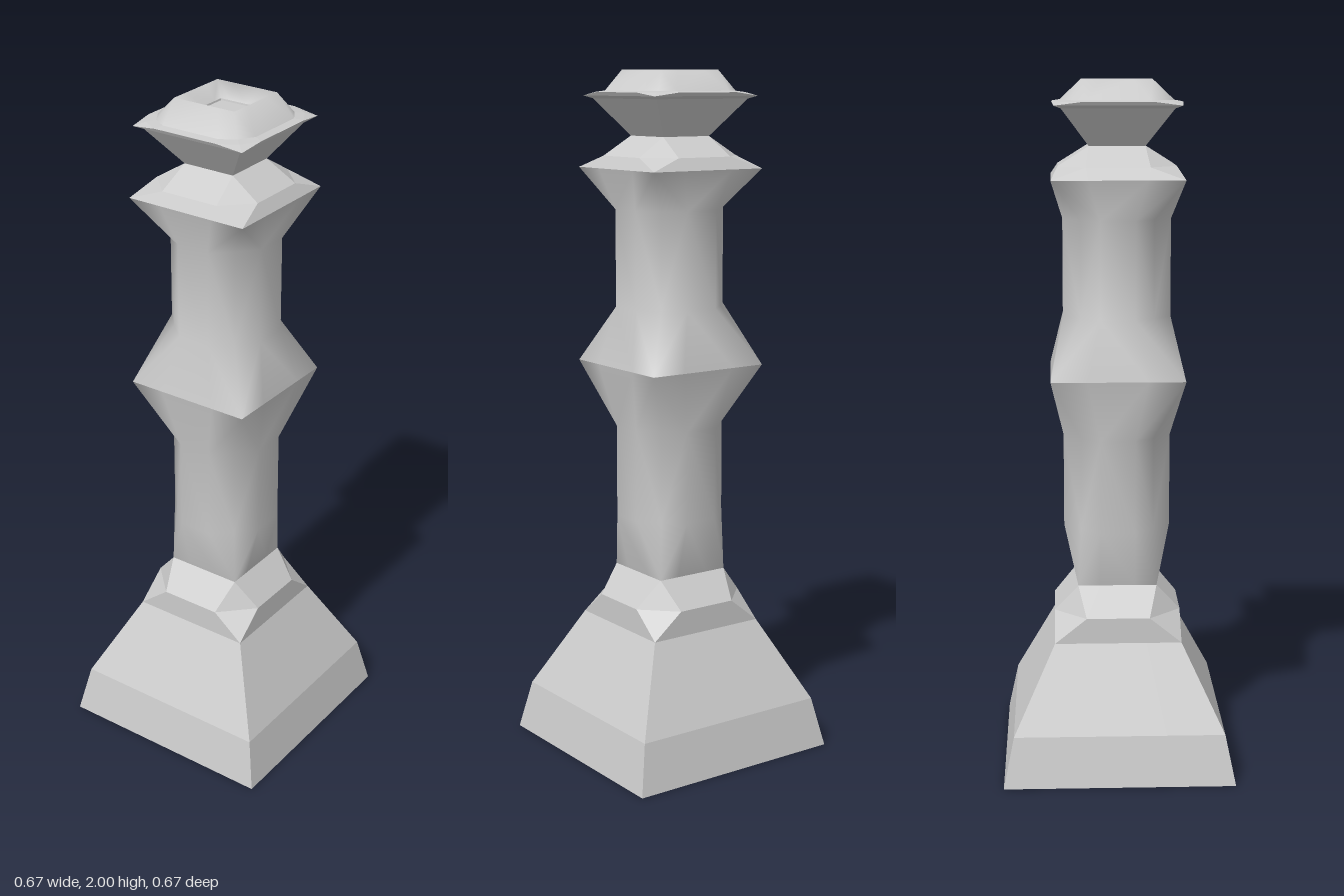
import * as THREE from 'three';
import { mergeVertices } from 'three/addons/utils/BufferGeometryUtils.js';

// Cross-sections are twelve-sided: h = half width, k = half length of the flat side, c = corner.
const square = (y, h) => ({ y, h, k: h * 0.45, c: h });
const round = (y, h, k, c) => ({ y, h, k, c });
const column = (y) => round(y, 0.155, 0.05, 0.105);

function ringPoints({ y, h, k, c }) {
  const points = [];
  for (let q = 0; q < 4; q++) {
    const cos = [1, 0, -1, 0][q], sin = [0, 1, 0, -1][q];
    for (const [a, b] of [[h, k], [c, c], [k, h]]) {
      points.push(new THREE.Vector3(a * cos - b * sin, y, -(a * sin + b * cos)));
    }
  }
  return points;
}

// Joins successive sections into a shell; the diagonals run out of the sharper corners.
function loft(name, sections, { smooth = false, bottom = false, top = false } = {}) {
  const rings = sections.map(ringPoints);
  const tris = [];
  for (let s = 0; s + 1 < rings.length; s++) {
    const lowerSharp = sections[s].c / sections[s].h >= sections[s + 1].c / sections[s + 1].h;
    for (let i = 0; i < 12; i++) {
      const j = (i + 1) % 12;
      const a = rings[s][i], b = rings[s][j], c = rings[s + 1][j], d = rings[s + 1][i];
      if ((i % 3 === 1) === lowerSharp) tris.push(a, b, c, a, c, d);
      else tris.push(a, b, d, b, c, d);
    }
  }
  const cap = (ring, up) => {
    const centre = new THREE.Vector3(0, ring[0].y, 0);
    ring.forEach((p, i) => {
      const q = ring[(i + 1) % 12];
      tris.push(centre, up ? p : q, up ? q : p);
    });
  };
  if (bottom) cap(rings[0], false);
  if (top) cap(rings[rings.length - 1], true);

  let geometry = new THREE.BufferGeometry().setFromPoints(tris);
  if (smooth) geometry = mergeVertices(geometry);
  geometry.computeVertexNormals();
  const mesh = new THREE.Mesh(
    geometry,
    new THREE.MeshStandardMaterial({ color: 0xcccccc, flatShading: !smooth, side: THREE.DoubleSide })
  );
  mesh.name = name;
  return mesh;
}

export function createModel() {
  const model = new THREE.Group();
  model.name = 'pillar';
  model.add(
    // Square foot tapering to the collar
    loft('base', [square(0, 0.335), square(0.145, 0.305), square(0.385, 0.185)], { bottom: true }),
    // Collar with cut corners
    loft('baseCollar', [square(0.385, 0.185), round(0.46, 0.185, 0.092, 0.1385), square(0.54, 0.115)]),
    // Rounded shafts flaring to square ledges
    loft('lowerShaft', [square(0.54, 0.115), column(0.71), column(0.98), square(1.16, 0.192)], { smooth: true }),
    loft('upperShaft', [square(1.16, 0.192), column(1.33), column(1.61), square(1.725, 0.188)], { smooth: true }),
    // Shoulder narrowing to the neck
    loft('shoulder', [square(1.725, 0.188), round(1.76, 0.168, 0.09, 0.129), square(1.815, 0.08)]),
    // Flared head and thin rim
    loft('head', [square(1.815, 0.08), square(1.92, 0.158)]),
    loft('rim', [square(1.92, 0.158), square(1.928, 0.178), round(1.938, 0.184, 0.1, 0.153),
      round(1.942, 0.16, 0.09, 0.133)]),
    // Domed top dipping into a square socket
    loft('dome', [round(1.942, 0.16, 0.09, 0.133), square(2, 0.098), square(1.965, 0.056)], { smooth: true }),
    loft('socketFloor', [square(1.965, 0.056), square(1.96, 0.055)], { top: true })
  );
  return model;
}
